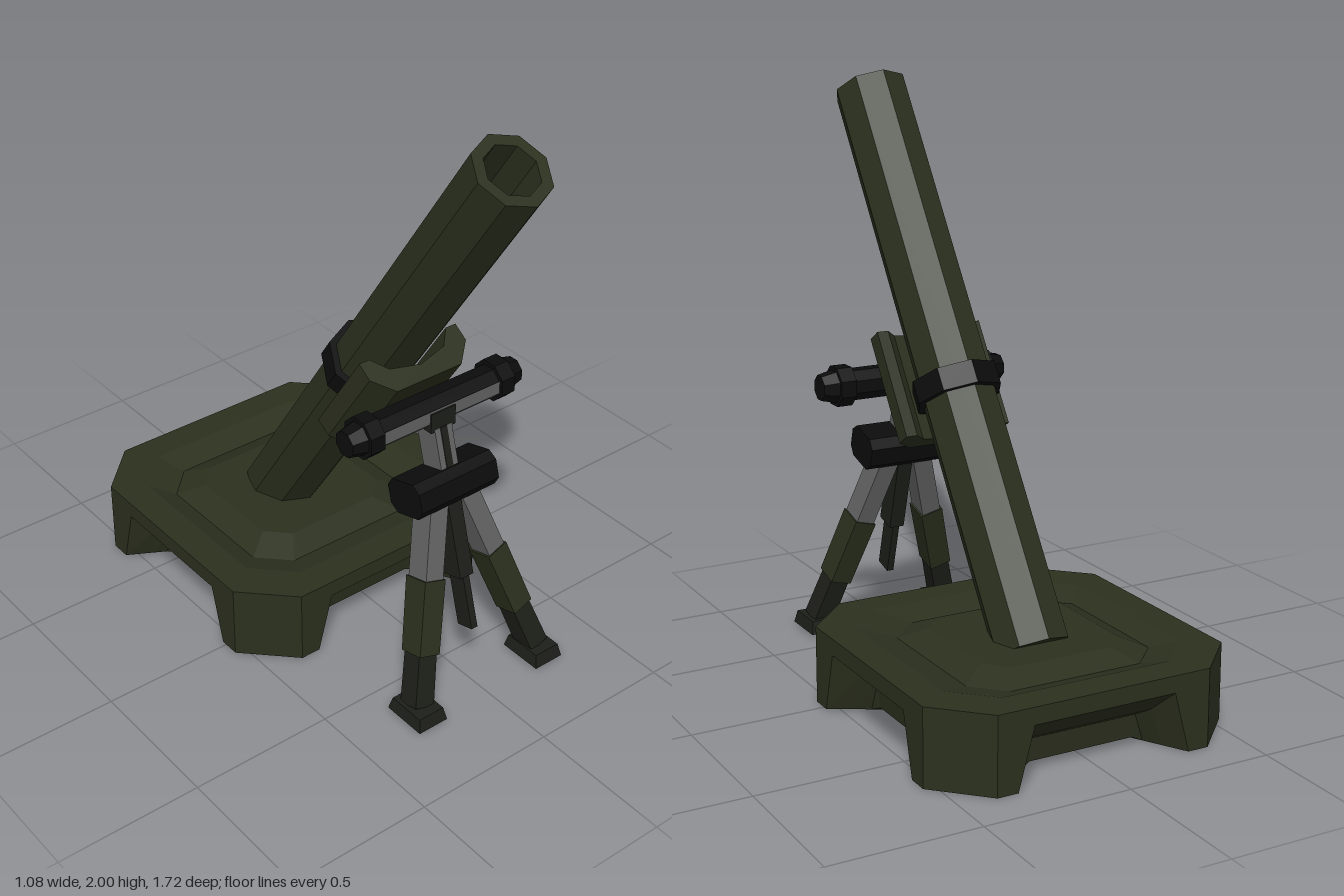
import * as THREE from 'three';

const mat = (color) => new THREE.MeshStandardMaterial({ color, flatShading: true });
const GREEN = mat(0x2b301e);
const DARK = mat(0x1d1f19);
const BLACK = mat(0x0c0c0d);
const GREY = mat(0x626262);

function add(parent, name, geometry, material, x = 0, y = 0, z = 0) {
  const mesh = new THREE.Mesh(geometry, material);
  mesh.name = name;
  mesh.position.set(x, y, z);
  parent.add(mesh);
  return mesh;
}

// Box whose top face is scaled
function taperBox(w, h, d, top) {
  const g = new THREE.BoxGeometry(w, h, d);
  const p = g.attributes.position;
  for (let i = 0; i < p.count; i++) {
    if (p.getY(i) > 0) p.setXYZ(i, p.getX(i) * top, p.getY(i), p.getZ(i) * top);
  }
  return g;
}

// Flat outline extruded to a given depth
function extrude(points, depth) {
  const shape = new THREE.Shape(points.map(([x, y]) => new THREE.Vector2(x, y)));
  return new THREE.ExtrudeGeometry(shape, { depth, bevelEnabled: false });
}

// Chamfered square base: radial profiles swept round the four sides, with a notch in each side
function basePlateGeometry() {
  const half = 0.539;
  const stations = [[-0.377, 0], [-0.305, 0], [-0.25, 1], [0.25, 1], [0.305, 0], [0.377, 0]];
  // [distance from centre, height at feet, height in notch]
  const profile = [
    [0.001, 0.267, 0.267], [0.25, 0.267, 0.267], [0.335, 0.23, 0.23], [0.43, 0.262, 0.262],
    [half, 0.262, 0.262], [half, 0, 0.205], [0.46, 0, 0.13], [0.41, 0, 0.1],
    [0.4, 0, 0.02], [0.375, 0, 0.02], [0.34, 0.205, 0.205], [0.001, 0.215, 0.215],
  ];
  const rings = profile.map(([r, yFoot, yNotch]) => {
    const ring = [];
    for (let k = 0; k < 4; k++) {
      const s = Math.round(Math.sin(k * Math.PI / 2)), c = Math.round(Math.cos(k * Math.PI / 2));
      for (const [u, notch] of stations) {
        const t = u * r / half;
        ring.push([s * r + c * t, notch ? yNotch : yFoot, c * r - s * t]);
      }
    }
    return ring;
  });
  // The raised middle sits under the barrel, a little to the right
  for (const ring of rings.slice(0, 3)) for (const p of ring) p[0] -= 0.02;
  const out = [];
  for (let j = 0; j < rings.length - 1; j++) {
    const n = rings[j].length;
    for (let i = 0; i < n; i++) {
      const k = (i + 1) % n;
      const a = rings[j][i], b = rings[j][k], c = rings[j + 1][i], d = rings[j + 1][k];
      out.push(...a, ...c, ...d, ...a, ...d, ...b);
    }
  }
  const g = new THREE.BufferGeometry();
  g.setAttribute('position', new THREE.Float32BufferAttribute(out, 3));
  g.computeVertexNormals();
  return g;
}

function buildBase() {
  const base = new THREE.Group();
  base.name = 'base';
  base.position.z = -0.323;
  add(base, 'basePlate', basePlateGeometry(), GREEN);
  // Socket under the plate
  add(base, 'socket', new THREE.CylinderGeometry(0.17, 0.11, 0.07, 8), GREEN, -0.02, 0.185, -0.06);
  add(base, 'socketPin', new THREE.CylinderGeometry(0.05, 0.04, 0.04, 8), DARK, -0.02, 0.135, -0.06);
  return base;
}

function buildBarrel() {
  const barrel = new THREE.Group();
  barrel.name = 'barrelAssembly';
  barrel.position.set(-0.022, 0.262, -0.361);
  barrel.rotation.x = 0.588;
  const wall = [[0, -0.04], [0.128, -0.04], [0.128, 2.005], [0.09, 2.005], [0.09, 0.9], [0, 0.9]];
  add(barrel, 'barrel', new THREE.LatheGeometry(wall.map(([r, y]) => new THREE.Vector2(r, y)), 8), GREEN);
  add(barrel, 'clampBand', new THREE.CylinderGeometry(0.152, 0.152, 0.08, 8), BLACK, 0, 0.87, 0);
  // Thin trough that carries the barrel
  const cradle = [
    [-0.195, -0.067], [-0.195, -0.13], [-0.13, -0.197], [0.13, -0.197], [0.195, -0.13], [0.195, -0.067],
    [0.155, -0.067], [0.11, -0.12], [0, -0.145], [-0.11, -0.12], [-0.155, -0.067],
  ];
  add(barrel, 'cradle', extrude(cradle, 0.379).rotateX(-Math.PI / 2), GREEN, 0, 0.743, 0);
  return barrel;
}

function buildCrossbar() {
  const bar = new THREE.Group();
  bar.name = 'crossbar';
  bar.position.set(0, 0.965, 0.41);
  const rod = (r1, r2, len) => new THREE.CylinderGeometry(r1, r2, len, 8).rotateY(Math.PI / 8).rotateZ(-Math.PI / 2);
  add(bar, 'crossTube', rod(0.056, 0.056, 0.56), BLACK);
  // Bare metal on the front and lower front facets
  const facets = new THREE.CylinderGeometry(0.059, 0.059, 0.5, 2, 1, true, -Math.PI / 8, Math.PI / 2);
  add(bar, 'crossTubeFront', facets.rotateZ(-Math.PI / 2), GREY);
  for (const s of [-1, 1]) {
    add(bar, 'crossCollar', rod(0.072, 0.072, 0.055), BLACK, s * 0.267, 0, 0);
    add(bar, 'crossCap', rod(s > 0 ? 0.045 : 0.058, s > 0 ? 0.058 : 0.045, 0.055), BLACK, s * 0.32, 0, 0);
  }
  add(bar, 'pivotBlock', new THREE.BoxGeometry(0.1, 0.07, 0.12), DARK, 0, -0.02, 0);
  return bar;
}

function buildBipod() {
  const bipod = new THREE.Group();
  bipod.name = 'bipod';
  bipod.position.set(0, 0.965, 0.41);
  bipod.rotation.x = -0.272;
  // Central post with its slide
  add(bipod, 'post', new THREE.BoxGeometry(0.07, 0.24, 0.09), GREY, 0, -0.15, 0);
  add(bipod, 'postSlide', new THREE.BoxGeometry(0.026, 0.2, 0.096), DARK, 0, -0.16, 0);
  add(bipod, 'lowerPost', new THREE.BoxGeometry(0.055, 0.28, 0.08), DARK, 0, -0.45, 0);
  add(bipod, 'screwBlade', new THREE.BoxGeometry(0.025, 0.2, 0.07), DARK, 0, -0.68, 0);
  // Head with its long edges chamfered
  const d = 0.08, h = 0.06, c = 0.028;
  const head = [
    [-d, c - h], [c - d, -h], [d - c, -h], [d, c - h],
    [d, h - c], [d - c, h], [c - d, h], [-d, h - c],
  ];
  add(bipod, 'legHead', extrude(head, 0.32).rotateY(Math.PI / 2), BLACK, -0.16, -0.26, 0);
  // Telescopic legs
  for (const s of [-1, 1]) {
    const leg = new THREE.Group();
    leg.name = s > 0 ? 'leftLeg' : 'rightLeg';
    leg.position.set(s * 0.065, -0.317, 0);
    leg.rotation.z = s * 0.284;
    add(leg, 'upperLeg', new THREE.BoxGeometry(0.07, 0.28, 0.09), GREY, 0, -0.11, 0);
    add(leg, 'middleLeg', taperBox(0.08, 0.25, 0.095, 1.04), GREEN, 0, -0.365, 0);
    add(leg, 'lowerLeg', taperBox(0.075, 0.19, 0.08, 0.95), DARK, 0, -0.57, 0);
    bipod.add(leg);
  }
  return bipod;
}

export function createModel() {
  const model = new THREE.Group();
  model.name = 'mortar';
  model.add(buildBase(), buildBarrel(), buildCrossbar(), buildBipod());
  for (const s of [-1, 1]) {
    add(model, s > 0 ? 'leftFoot' : 'rightFoot', taperBox(0.115, 0.045, 0.16, 0.85), DARK, s * 0.253, 0.032, 0.672);
  }
  return model;
}
